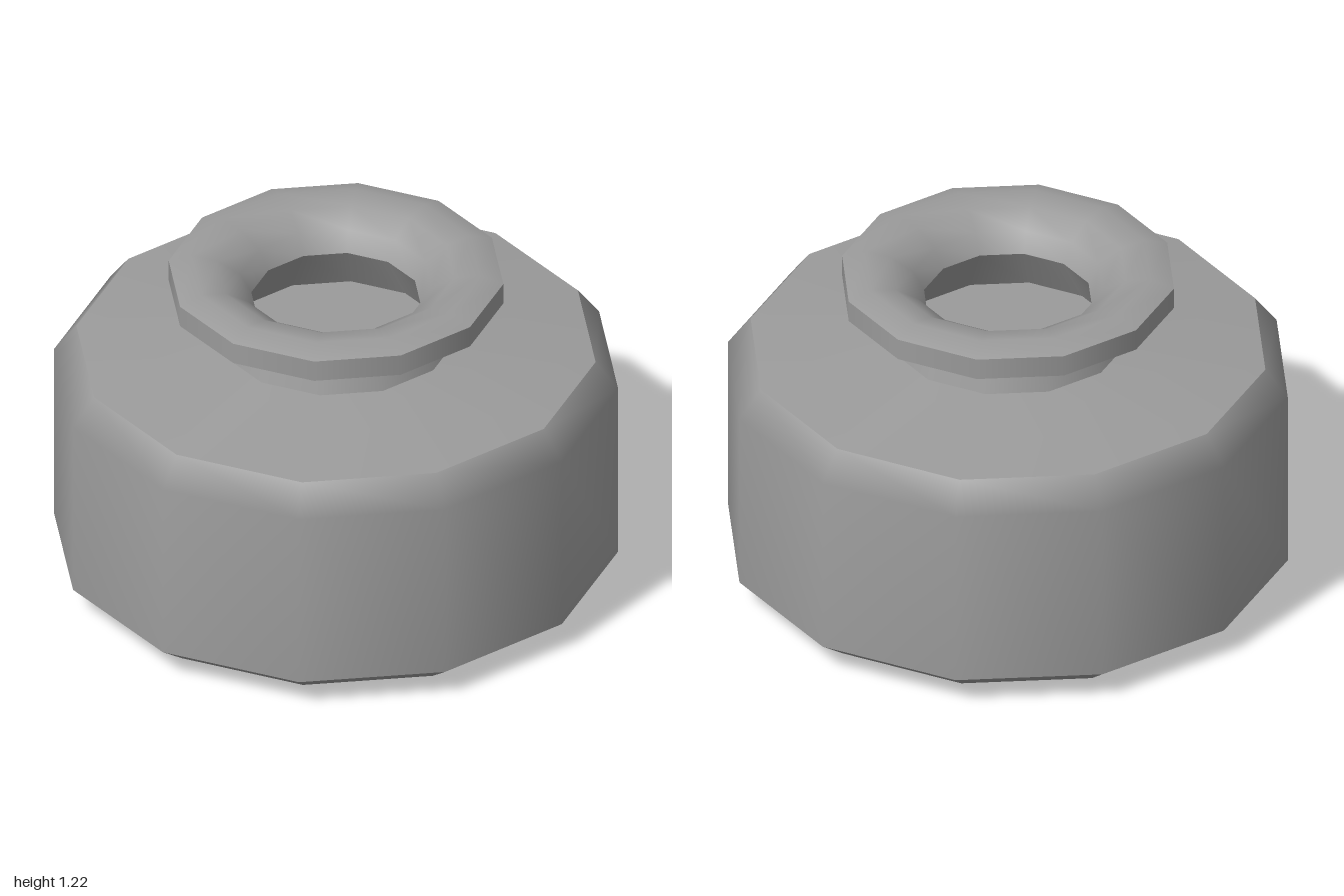
import * as THREE from 'three';

const SIDES = 12;

export function createModel() {
  const group = new THREE.Group();
  const material = new THREE.MeshStandardMaterial({ color: 0x9b9b9b });

  // Each band is a smooth twelve-sided strip; creases fall between bands.
  const band = (parent, name, profile) => {
    const points = profile.map(([r, y]) => new THREE.Vector2(r, y));
    const mesh = new THREE.Mesh(new THREE.LatheGeometry(points, SIDES), material);
    mesh.name = name;
    parent.add(mesh);
  };
  const part = (name) => {
    const g = new THREE.Group();
    g.name = name;
    group.add(g);
    return g;
  };

  // Squat body with a rounded base and bevelled shoulder
  const body = part('body');
  band(body, 'base', [[0, 0], [0.74, 0], [0.89, 0.03], [1, 0.11]]);
  band(body, 'bodySide', [[1, 0.11], [1, 0.785], [0.92, 0.89]]);
  band(body, 'shoulder', [[0.92, 0.89], [0.43, 0.945]]);

  // Tapered neck
  band(group, 'neck', [[0.43, 0.945], [0.38, 1.107]]);

  // Overhanging lip with a funnel-shaped mouth
  const lip = part('lip');
  band(lip, 'lipUnderside', [[0.38, 1.107], [0.593, 1.107]]);
  band(lip, 'lipSide', [[0.593, 1.107], [0.593, 1.187]]);
  band(lip, 'mouth', [[0.593, 1.187], [0.51, 1.215], [0.42, 1.2], [0.34, 1.15], [0.3, 1.08]]);

  // Hollow inside, widening below the mouth to a flat floor
  const inside = part('inside');
  band(inside, 'insideWall', [[0.3, 1.08], [0.4, 0.9]]);
  band(inside, 'insideFloor', [[0.4, 0.9], [0, 0.9]]);

  return group;
}
